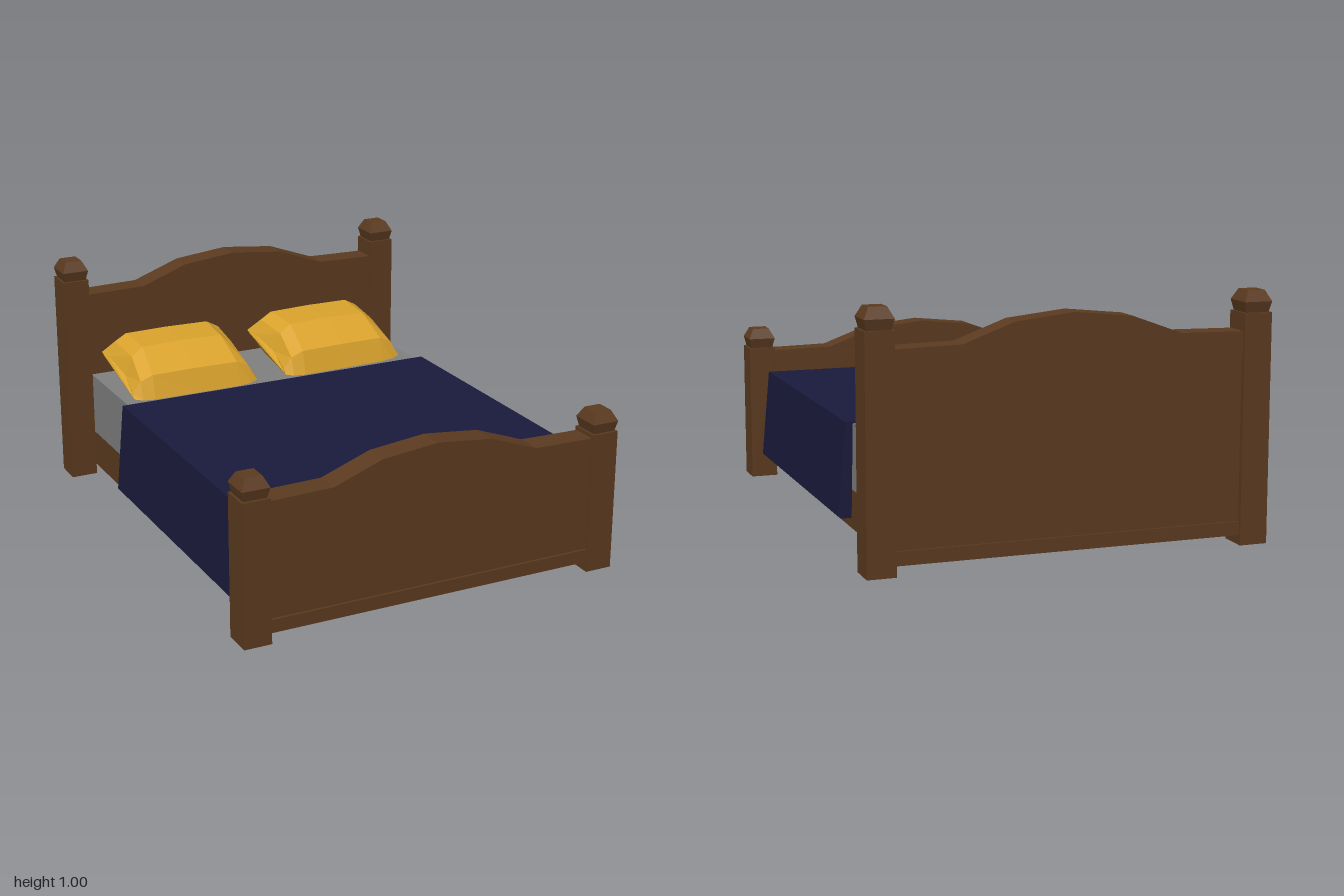
import * as THREE from 'three';

const paint = (color) => new THREE.MeshStandardMaterial({ color, flatShading: true });

export function createModel() {
  const wood = paint(0x5c3b20);
  const sheet = paint(0x808080);
  const cloth = paint(0x1a1a3c);
  const gold = paint(0xd9a22c);
  const model = new THREE.Group();
  model.name = 'bed';

  const add = (parent, name, geometry, material, x = 0, y = 0, z = 0) => {
    const mesh = new THREE.Mesh(geometry, material);
    mesh.name = name;
    mesh.position.set(x, y, z);
    parent.add(mesh);
    return mesh;
  };
  const box = (parent, name, material, w, h, d, x, y, z) =>
    add(parent, name, new THREE.BoxGeometry(w, h, d), material, x, y, z);

  // Flat outline extruded along z and centred on it
  const slab = (points, depth) => {
    const shape = new THREE.Shape(points.map(([x, y]) => new THREE.Vector2(x, y)));
    return new THREE.ExtrudeGeometry(shape, { depth, bevelEnabled: false }).translate(0, 0, -depth / 2);
  };

  // Square finial that flares out, then tapers to a flat top
  const capGeometry = () => {
    const profile = [[0, 0], [0.048, 0], [0.0575, 0.042], [0.036, 0.085], [0, 0.085]]
      .map(([r, y]) => new THREE.Vector2(r * Math.SQRT2, y));
    return new THREE.LatheGeometry(profile, 4).rotateY(Math.PI / 4).scale(1, 1, 1.08);
  };

  // Headboard and footboard share one arched design at different heights
  const arch = [[-0.7, 0], [-0.44, 0.005], [-0.235, 0.08], [0, 0.105], [0.235, 0.08], [0.44, 0.005], [0.7, 0]];
  const lowerArch = arch.map(([x, y]) => [x, y * 0.75 - 0.09]);
  const addBoard = (name, z, postTop, archBase) => {
    const board = new THREE.Group();
    board.name = name;
    board.position.z = z;
    const raise = (points) => points.map(([x, y]) => [x, y + archBase]);
    add(board, 'archedRail', slab([...raise(arch), ...raise(lowerArch).reverse()], 0.106), wood);
    add(board, 'panel', slab([[-0.7, 0.09], ...raise(lowerArch), [0.7, 0.09]], 0.086), wood);
    box(board, 'bottomRail', wood, 1.4, 0.055, 0.106, 0, 0.0675, 0);
    for (const side of [-1, 1]) {
      box(board, 'post', wood, 0.115, postTop, 0.125, side * 0.7575, postTop / 2, 0);
      add(board, 'postCap', capGeometry(), wood, side * 0.7575, postTop, 0);
    }
    model.add(board);
  };
  addBoard('headboard', -0.9375, 0.915, 0.845);
  addBoard('footboard', 0.9375, 0.59, 0.575);

  // Base and mattress
  box(model, 'base', wood, 1.39, 0.165, 1.79, 0, 0.1225, 0);
  box(model, 'mattress', sheet, 1.4, 0.27, 1.77, 0, 0.338, 0);

  // Blanket draped over both sides, flaring toward the hem
  add(model, 'blanket', slab([
    [-0.73, 0.48], [-0.765, 0.105], [-0.755, 0.095], [-0.71, 0.095], [-0.701, 0.472],
    [0.701, 0.472], [0.71, 0.095], [0.755, 0.095], [0.765, 0.105], [0.73, 0.48],
  ].reverse(), 1.3), cloth, 0, 0, 0.225);

  // Pillow lofted along x: the [z, y] section flattens onto a slanted seam at each end
  const section = [[-0.445, 0.475], [-0.475, 0.58], [-0.62, 0.665], [-0.8, 0.675],
    [-0.87, 0.585], [-0.845, 0.51], [-0.8, 0.472]];
  const stations = [[-0.29, 0.88], [-0.255, 0.3], [-0.2, 0.03], [0, 0],
    [0.2, 0.03], [0.255, 0.3], [0.29, 0.88]];
  const pillowGeometry = () => {
    const n = section.length;
    const positions = [];
    const index = [];
    for (const [x, flat] of stations) {
      for (const [z, y] of section) {
        const offset = z + 0.66;
        const seam = 0.535 - offset * 0.23;
        const waist = 1 - 0.09 * Math.max(0, 1 - Math.abs(offset) / 0.2);
        positions.push(x * waist, y + (seam - y) * flat, offset * (1 - 0.1 * flat));
      }
    }
    for (let s = 0; s < stations.length - 1; s++) {
      for (let i = 0; i < n; i++) {
        const a = s * n + i;
        const b = s * n + (i + 1) % n;
        index.push(a, a + n, b, b, a + n, b + n);
      }
    }
    const last = (stations.length - 1) * n;
    for (let i = 1; i < n - 1; i++) {
      index.push(0, i, i + 1, last, last + i + 1, last + i);
    }
    const geometry = new THREE.BufferGeometry();
    geometry.setAttribute('position', new THREE.Float32BufferAttribute(positions, 3));
    geometry.setIndex(index);
    geometry.computeVertexNormals();
    return geometry;
  };
  add(model, 'rightPillow', pillowGeometry(), gold, -0.37, 0, -0.66);
  add(model, 'leftPillow', pillowGeometry(), gold, 0.345, 0, -0.668).rotation.y = 0.03;

  return model;
}
